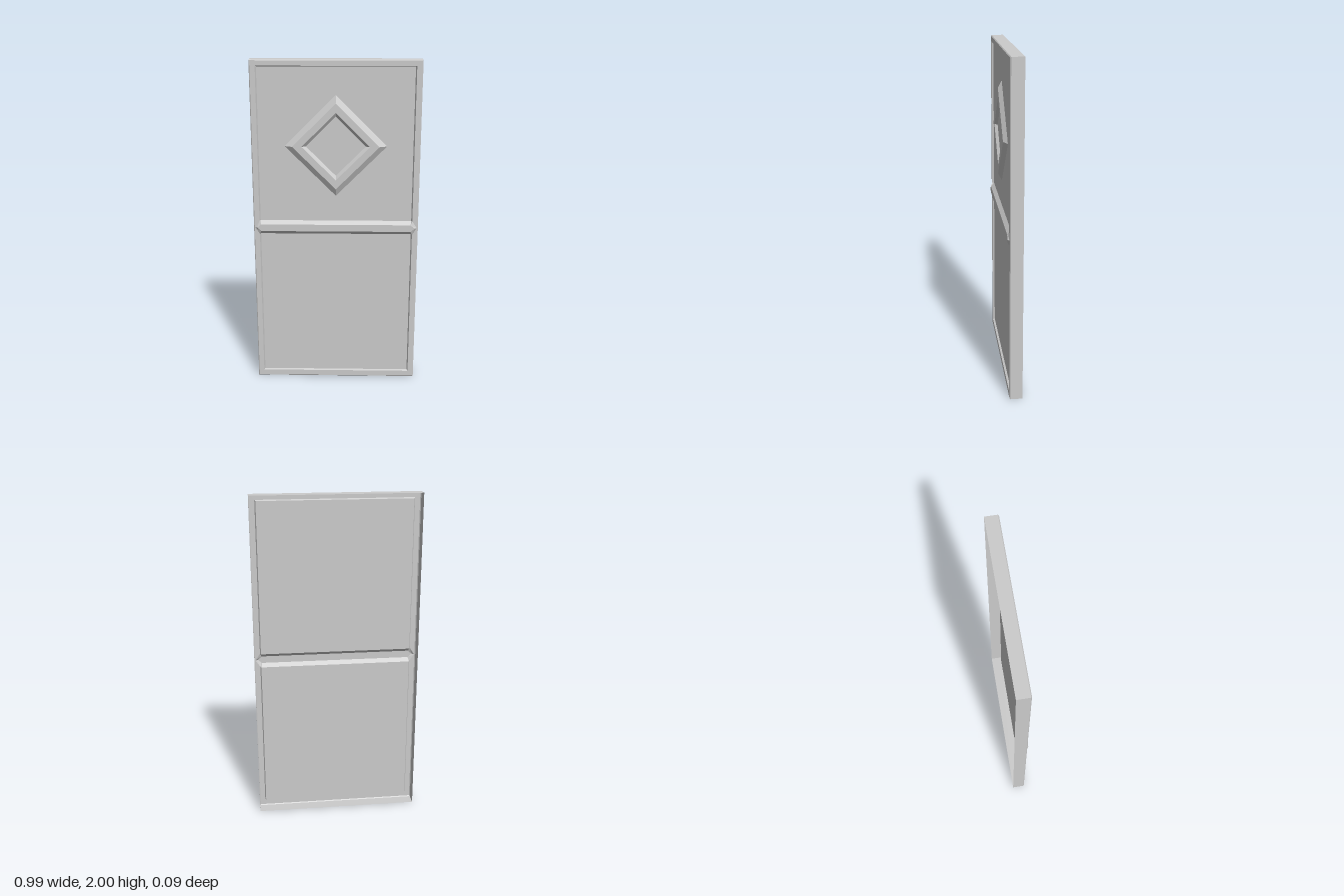
import * as THREE from 'three';

const material = new THREE.MeshStandardMaterial({
  color: 0xcccccc, flatShading: true, side: THREE.DoubleSide,
});

const BACK = -0.045, PANEL = 0.02, RIM = 0.032, CREST = 0.042;
const MID = 1.003; // height of the cross rail

// Counter-clockwise loops of [x, y, z] points
const rect = (x, y0, y1, z) => [[-x, y0, z], [x, y0, z], [x, y1, z], [-x, y1, z]];
const diamond = (r, z) => [[0, 1.5 - r, z], [r, 1.5, z], [0, 1.5 + r, z], [-r, 1.5, z]];
const mirrored = (half) => [...half, ...half.map(([x, y, z]) => [-x, y, z]).reverse()];

// Strips of quads joining successive closed loops
function skin(name, loops) {
  const pos = [];
  for (let k = 0; k < loops.length - 1; k++) {
    const a = loops[k], b = loops[k + 1], n = a.length;
    for (let i = 0; i < n; i++) {
      const j = (i + 1) % n;
      pos.push(...a[i], ...a[j], ...b[j], ...a[i], ...b[j], ...b[i]);
    }
  }
  const geo = new THREE.BufferGeometry();
  geo.setAttribute('position', new THREE.Float32BufferAttribute(pos, 3));
  geo.computeVertexNormals();
  const mesh = new THREE.Mesh(geo, material);
  mesh.name = name;
  return mesh;
}

// Flat sheet filling a loop, with an optional opening
function sheet(name, loop, hole) {
  const points = (l) => l.map(([x, y]) => new THREE.Vector2(x, y));
  const shape = new THREE.Shape(points(loop));
  if (hole) shape.holes.push(new THREE.Path(points(hole)));
  const mesh = new THREE.Mesh(new THREE.ShapeGeometry(shape), material);
  mesh.position.z = loop[0][2];
  mesh.name = name;
  return mesh;
}

export function createModel() {
  const door = new THREE.Group();
  door.name = 'door';

  // Outer walls, open at the back, with a fine chamfer on the front edge
  const rimEdge = rect(0.49, 0.005, 1.995, RIM);
  door.add(skin('edgeWalls', [
    rect(0.495, 0, 2, BACK), rect(0.495, 0, 2, 0.027), rimEdge,
  ]));

  // Raised rim, notched where the pointed rail ends cross it
  const railLow = MID - 0.042, railHigh = MID + 0.042;
  door.add(sheet('rim', rimEdge, mirrored([
    [0.46, 0.04], [0.46, railLow], [0.488, MID], [0.46, railHigh], [0.46, 1.965],
  ])));

  // Recessed panels and the sloped steps down to them
  for (const [name, y0, y1, low, high] of [
    ['lowerPanel', 0.04, railLow, 0.005, 0],
    ['upperPanel', railHigh, 1.965, 0, 0.005],
  ]) {
    const floor = rect(0.454, y0 + low, y1 - high, PANEL);
    door.add(sheet(name, floor));
    // The step stops at the rail, so its fourth side collapses onto the rail edge
    const top = rect(0.46, y0, y1, RIM);
    const railSide = low ? [2, 3] : [0, 1];
    const step = [[], []];
    for (let i = 0; i < 4; i++) {
      const p = (railSide[1] + i) % 4;
      step[0].push(top[p]);
      step[1].push(floor[p]);
    }
    // Walk back along the open path so no strip is closed over the rail
    door.add(skin(name + 'Step', step.map((l) => [...l, l[2], l[1]])));
  }

  // Embossed cross rail with pointed ends
  const railBase = mirrored([
    [0.454, railLow, PANEL], [0.46, railLow, RIM], [0.488, MID, RIM],
    [0.46, railHigh, RIM], [0.454, railHigh, PANEL],
  ]);
  const railCrest = mirrored([
    [0.45, MID - 0.021, CREST], [0.45, MID - 0.021, CREST], [0.474, MID, CREST],
    [0.45, MID + 0.021, CREST], [0.45, MID + 0.021, CREST],
  ]);
  door.add(skin('railSlopes', [railBase, railCrest]), sheet('railFace', railCrest));

  // Diamond moulding around a sunken diamond centre
  const floor = diamond(0.176, 0.025);
  door.add(
    skin('diamondFrame', [
      diamond(0.3, PANEL), diamond(0.255, CREST), diamond(0.2, CREST), floor,
    ]),
    sheet('diamondCentre', floor),
  );
  return door;
}
